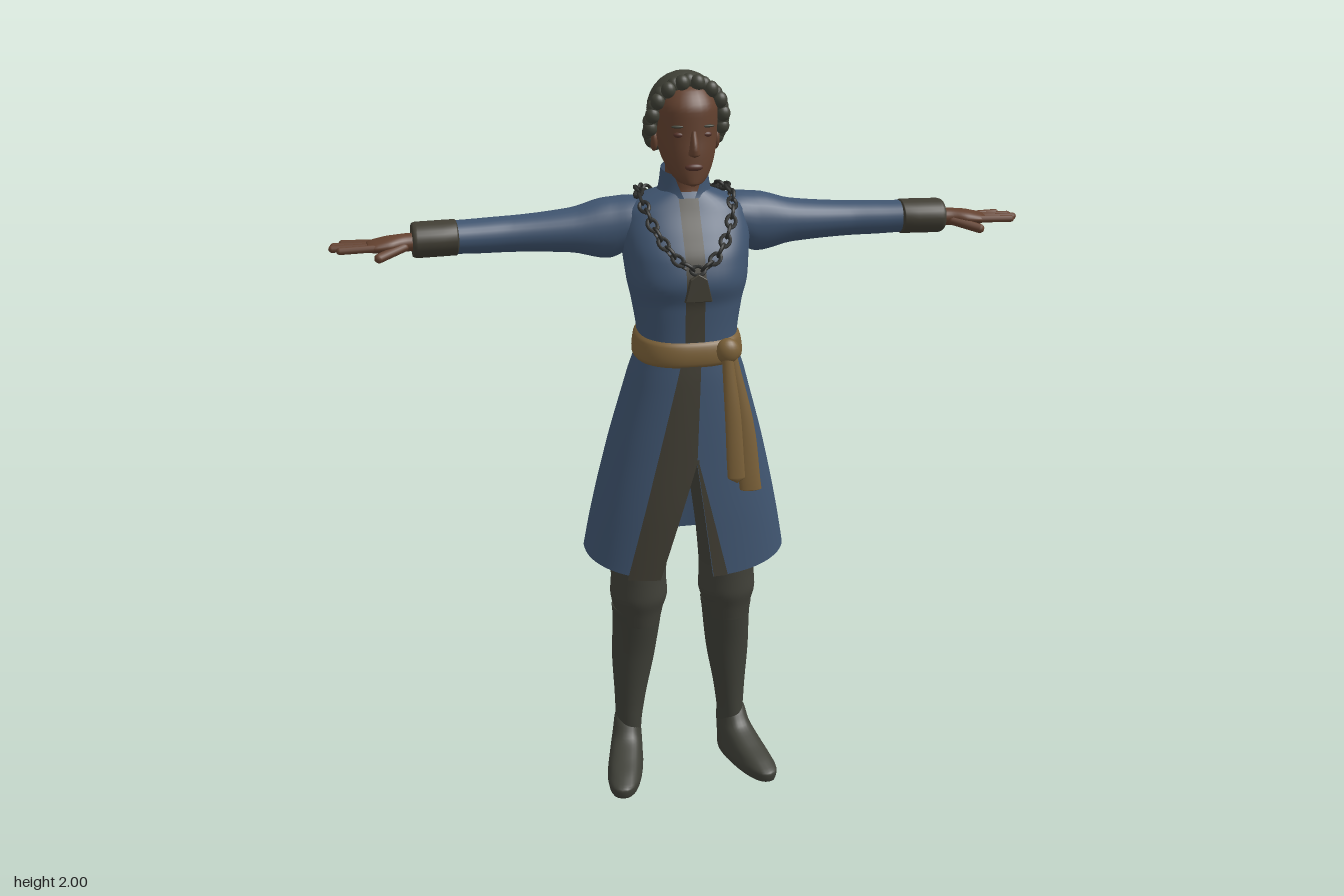
import * as THREE from 'three';

const mat = (name, color, side = THREE.FrontSide) => {
  const m = new THREE.MeshStandardMaterial({ color, side });
  m.name = name;
  return m;
};

// Monotone cubic interpolation of table rows, keyed by the first column
function at(rows, k) {
  const n = rows.length - 1;
  let i = 0;
  while (i < n - 1 && k > rows[i + 1][0]) i++;
  const h = rows[i + 1][0] - rows[i][0];
  const t = THREE.MathUtils.clamp((k - rows[i][0]) / h, 0, 1);
  const d = (j, c) => (rows[j + 1][c] - rows[j][c]) / (rows[j + 1][0] - rows[j][0]);
  const slope = (j, c) => {
    if (j === 0) return d(0, c);
    if (j === n) return d(n - 1, c);
    const a = d(j - 1, c), b = d(j, c);
    return a * b <= 0 ? 0 : (2 * a * b) / (a + b);
  };
  return rows[0].map((_, c) => {
    const t2 = t * t, t3 = t2 * t;
    return (2 * t3 - 3 * t2 + 1) * rows[i][c] + (t3 - 2 * t2 + t) * h * slope(i, c)
      + (3 * t2 - 2 * t3) * rows[i + 1][c] + (t3 - t2) * h * slope(i + 1, c);
  });
}

// Point on an oval section; rows are [key, centre, half width, front z, back z]
function oval(rows, th, k, e = 1, off = 0) {
  const [, c, w, f, b] = at(rows, k);
  const pw = v => Math.sign(v) * Math.abs(v) ** e;
  return [c + (w + off) * pw(Math.sin(th)), k, (f + b) / 2 + ((f - b) / 2 + off) * pw(Math.cos(th))];
}

// Surface from a point rule p(u, v), u and v from 0 to 1
function grid(nu, nv, p, closed = false) {
  const pos = [], idx = [], row = closed ? nu : nu + 1;
  for (let j = 0; j <= nv; j++) for (let i = 0; i < row; i++) pos.push(...p(i / nu, j / nv));
  for (let j = 0; j < nv; j++) for (let i = 0; i < nu; i++) {
    const a = j * row + i, b = j * row + (i + 1) % row;
    idx.push(a, b, b + row, a, b + row, a + row);
  }
  const g = new THREE.BufferGeometry();
  g.setAttribute('position', new THREE.Float32BufferAttribute(pos, 3));
  g.setIndex(idx);
  g.computeVertexNormals();
  return g;
}

// Closed loft through the rows, upright or sideways along x
function loft(rows, { e = 1, side = false, seg = 28, n = 5 } = {}) {
  const nv = (rows.length - 1) * n;
  return grid(seg, nv, (u, v) => {
    const q = v * (rows.length - 1), i = Math.min(Math.floor(q + 1e-9), rows.length - 2);
    const k = THREE.MathUtils.lerp(rows[i][0], rows[i + 1][0], q - i);
    const [x, y, z] = oval(rows, u * Math.PI * 2 * (side ? -1 : 1), k, e);
    return side ? [y, x, z] : [x, y, z];
  }, true);
}

function limb(a, b, r) {
  const A = new THREE.Vector3(...a), B = new THREE.Vector3(...b), d = B.clone().sub(A);
  const g = new THREE.CapsuleGeometry(r, d.length(), 4, 10);
  g.applyQuaternion(new THREE.Quaternion().setFromUnitVectors(new THREE.Vector3(0, 1, 0), d.clone().normalize()));
  return g.translate(...A.add(B).multiplyScalar(0.5).toArray());
}
const ball = (x, y, z, a, b, c) => new THREE.SphereGeometry(1, 20, 14).scale(a, b, c).translate(x, y, z);

function mirrored(geo) {
  const g = geo.clone().scale(-1, 1, 1), ix = g.index;
  for (let i = 0; i < ix.count; i += 3) {
    const t = ix.getX(i);
    ix.setX(i, ix.getX(i + 1));
    ix.setX(i + 1, t);
  }
  return g;
}

// Coat outline from hem to neck
const E = 0.8;
const BODY = [
  [0.64, 0, 0.287, 0.165, -0.19], [0.8, 0, 0.258, 0.165, -0.17], [1, 0, 0.213, 0.16, -0.137],
  [1.2, 0, 0.158, 0.152, -0.1], [1.3, 0, 0.132, 0.145, -0.078], [1.4, 0, 0.145, 0.148, -0.088],
  [1.46, 0, 0.158, 0.163, -0.1], [1.52, 0, 0.165, 0.15, -0.11], [1.58, 0, 0.172, 0.12, -0.115],
  [1.64, 0, 0.165, 0.085, -0.112], [1.67, 0, 0.12, 0.07, -0.095], [1.69, 0, 0.07, 0.06, -0.06]];
const angleAt = (x, y) => Math.asin(Math.sign(x) * Math.min(1, Math.abs(x) / at(BODY, y)[2]) ** (1 / E));
const lerp = THREE.MathUtils.lerp;

export function createModel() {
  const model = new THREE.Group();
  const M = {
    coat: mat('coat blue', 0x3f546f, THREE.DoubleSide),
    trim: mat('trim olive', 0x403d33, THREE.DoubleSide),
    sash: mat('sash ochre', 0x7a6038),
    skin: mat('skin brown', 0x63412f),
    lips: mat('lip brown', 0x55332a),
    hair: mat('hair grey', 0x3f4036),
    boots: mat('boot grey', 0x3f4038),
    trousers: mat('trouser grey', 0x414139),
    chain: mat('chain dark', 0x2b2c2a),
  };
  const add = (name, geo, m) => {
    const mesh = new THREE.Mesh(geo, m);
    mesh.name = name;
    model.add(mesh);
    return mesh;
  };
  const pair = (name, geo, m) => {
    add('left ' + name, geo, m);
    add('right ' + name, mirrored(geo), m);
  };

  // Coat: bodice, and skirt open at the front slit
  add('bodice', grid(48, 40, (u, v) => oval(BODY, u * Math.PI * 2, lerp(1.27, 1.69, v), E), true), M.coat);
  const slit = y => THREE.MathUtils.clamp((0.98 - y) / 0.33, 0, 1);
  const hemY = th => 0.65 + 0.035 * Math.sin(th) ** 2 + 0.006 * (1 - Math.cos(th));
  add('skirt', grid(72, 30, (u, v) => {
    const y0 = lerp(0.65, 1.29, v);
    const th = lerp(angleAt(0.045 * slit(y0), y0), Math.PI * 2 + angleAt(-0.1 * slit(y0), y0), u);
    return oval(BODY, th, lerp(hemY(th), 1.29, v), E);
  }), M.coat);

  // Trim strips lie just proud of the coat; xa and xb are the edges at height y
  const strip = (name, y0, y1, xa, xb, off = 0.005) => add(name, grid(6, 30, (u, v) => {
    const y = lerp(y0, y1, v);
    return oval(BODY, angleAt(lerp(xa(y), xb(y), u), y), y, E, off);
  }), M.trim);
  strip('chest trim', 1.31, 1.675, () => -0.028, () => 0.022);
  strip('right skirt trim', 0.652, 1.27, y => lerp(-0.185, -0.04, (y - 0.65) / 0.6), y => y < 0.98 ? -0.1 * slit(y) : 0.012 * (y - 0.98) / 0.27);
  strip('left skirt trim', 0.652, 0.99, y => 0.045 * slit(y), y => 0.005 + 0.08 * slit(y));

  // Standing collar, parted at the throat
  const COLLAR = [[1.655, 0, 0.085, 0.078, -0.078], [1.69, 0, 0.07, 0.068, -0.062], [1.755, 0, 0.06, 0.066, -0.058]];
  add('collar', grid(30, 8, (u, v) => {
    const gap = 0.04 + 0.6 * v;
    const th = lerp(gap, Math.PI * 2 - gap, u);
    return oval(COLLAR, th, lerp(1.655, 1.745 - 0.012 * Math.cos(th), v));
  }), M.coat);

  // Sash with knot and tails
  add('sash', grid(56, 10, (u, v) => {
    const th = u * Math.PI * 2, y = lerp(1.25, 1.322, v) - 0.011 * Math.cos(th);
    return oval(BODY, th, y, E, -0.004 + 0.016 * Math.sin(Math.PI * v) ** 0.4);
  }, true), M.sash);
  add('sash knot', ball(0.085, 1.282, 0.148, 0.032, 0.035, 0.026), M.sash);
  add('long sash tail', loft([[0.895, 0.148, 0.002, 0.178, 0.17], [0.9, 0.145, 0.03, 0.186, 0.164], [1.05, 0.133, 0.027, 0.178, 0.15],
    [1.27, 0.095, 0.015, 0.16, 0.135]], { seg: 16 }), M.sash);
  add('short sash tail', loft([[0.925, 0.105, 0.002, 0.187, 0.18], [0.94, 0.103, 0.024, 0.192, 0.174], [1.1, 0.095, 0.022, 0.185, 0.162],
    [1.27, 0.082, 0.015, 0.168, 0.145]], { seg: 16 }), M.sash);

  // Arms, cuffs and hands
  pair('sleeve', loft([[0.06, 1.61, 0.055, 0.045, -0.09], [0.14, 1.603, 0.07, 0.055, -0.098], [0.2, 1.59, 0.08, 0.05, -0.092],
    [0.3, 1.588, 0.058, 0.042, -0.08], [0.45, 1.586, 0.047, 0.034, -0.07], [0.53, 1.586, 0.045, 0.04, -0.062],
    [0.62, 1.588, 0.042, 0.05, -0.048]], { side: true }), M.coat);
  pair('cuff', loft([[0.594, 1.588, 0.035, 0.045, -0.04], [0.6, 1.588, 0.046, 0.056, -0.052], [0.7, 1.588, 0.046, 0.064, -0.04],
    [0.712, 1.588, 0.042, 0.06, -0.036], [0.713, 1.588, 0.002, 0.014, 0.01]], { side: true, n: 3 }), M.trim);
  pair('palm', loft([[0.69, 1.586, 0.022, 0.046, -0.01], [0.73, 1.585, 0.023, 0.052, -0.006], [0.77, 1.583, 0.022, 0.068, -0.012],
    [0.8, 1.581, 0.018, 0.07, -0.014], [0.825, 1.58, 0.012, 0.064, -0.01], [0.83, 1.58, 0.002, 0.03, 0.02]], { side: true }), M.skin);
  [[-0.005, -0.025, 0.885], [0.016, 0.006, 0.908], [0.038, 0.032, 0.913], [0.059, 0.062, 0.895]].forEach(([z0, z1, x], i) =>
    pair('finger ' + (i + 1), limb([0.805, 1.581, z0], [x, 1.579, z1], 0.0095), M.skin));
  pair('thumb', limb([0.735, 1.578, 0.045], [0.8, 1.56, 0.08], 0.0125), M.skin);

  // Legs: trousers, boots and turned-out feet
  pair('trouser leg', loft([[0.46, 0.128, 0.06, 0.05, -0.1], [0.5, 0.128, 0.068, 0.06, -0.1], [0.55, 0.127, 0.08, 0.073, -0.1], [0.6, 0.127, 0.077, 0.074, -0.103],
    [0.68, 0.125, 0.08, 0.078, -0.107], [0.9, 0.105, 0.088, 0.09, -0.11], [1.15, 0.065, 0.07, 0.09, -0.08]]), M.trousers);
  pair('boot shaft', loft([[0.05, 0.155, 0.038, -0.02, -0.104], [0.12, 0.152, 0.037, -0.006, -0.105], [0.2, 0.148, 0.043, 0, -0.103],
    [0.35, 0.138, 0.061, 0.02, -0.108], [0.47, 0.13, 0.068, 0.048, -0.108], [0.505, 0.129, 0.072, 0.056, -0.108], [0.508, 0.129, 0.055, 0.04, -0.095]]), M.boots);
  pair('boot foot', loft([[0, 0, 0.002, 0.1, 0.09], [0.001, 0, 0.046, 0.24, -0.045], [0.025, 0, 0.05, 0.245, -0.047], [0.045, 0, 0.048, 0.21, -0.047],
    [0.07, 0, 0.045, 0.14, -0.046], [0.1, 0, 0.041, 0.075, -0.046], [0.14, 0, 0.036, 0.045, -0.044], [0.16, 0, 0.025, 0.025, -0.03]], { e: 0.85 })
    .rotateY(0.25).translate(0.155, 0, -0.06), M.boots);

  // Neck, head and face
  add('neck', loft([[1.64, 0, 0.06, 0.062, -0.05], [1.7, 0, 0.048, 0.05, -0.05], [1.8, 0, 0.05, 0.06, -0.055]]), M.skin);
  add('head', loft([[1.713, 0, 0.004, 0.112, 0.09], [1.722, 0, 0.032, 0.124, 0.04], [1.75, 0, 0.054, 0.124, 0], [1.79, 0, 0.07, 0.123, -0.04],
    [1.84, 0, 0.078, 0.119, -0.06], [1.9, 0, 0.08, 0.118, -0.065], [1.95, 0, 0.06, 0.09, -0.05], [1.98, 0, 0.005, 0.03, 0.02]], { e: 0.93 }), M.skin);
  add('nose', loft([[1.79, 0, 0.004, 0.13, 0.11], [1.797, 0, 0.016, 0.143, 0.1], [1.81, 0, 0.013, 0.144, 0.1], [1.855, 0, 0.007, 0.122, 0.1]], { seg: 14 }), M.skin);
  add('mouth', ball(0, 1.764, 0.119, 0.024, 0.01, 0.011), M.lips);
  pair('eyelid', ball(0.034, 1.845, 0.104, 0.016, 0.008, 0.01), M.lips);
  pair('brow', ball(0.036, 1.866, 0.106, 0.021, 0.004, 0.009), M.hair);
  pair('ear', ball(0.082, 1.82, 0.015, 0.01, 0.028, 0.018), M.skin);

  // Hair cap, crown braid and hanging braid
  add('hair cap', ball(0, 1.893, 0, 0.098, 0.102, 0.081), M.hair);
  const V = a => new THREE.Vector3(...a);
  const half = [[0.04, 1.963, 0.066], [0.077, 1.932, 0.058], [0.094, 1.88, 0.04], [0.09, 1.83, 0.005], [0.062, 1.805, -0.04]];
  const crown = new THREE.CatmullRomCurve3([[0, 1.973, 0.064], ...half, [0, 1.81, -0.068],
    ...half.map(([x, y, z]) => [-x, y, z]).reverse()].map(V), true);
  crown.getSpacedPoints(34).slice(0, 34).forEach((p, i) =>
    add('crown braid strand ' + (i + 1), ball(p.x, p.y, p.z + (i % 2 ? 0.006 : -0.006), 0.019, 0.021, 0.018), M.hair));
  for (let i = 0; i < 14; i++) {
    const t = i / 13, s = i % 2 ? 1 : -1, r = lerp(0.033, 0.015, t);
    add('hanging braid strand ' + (i + 1), ball(s * r * 0.55, lerp(1.84, 1.695, t), lerp(-0.058, -0.1, t), r, 0.02, r * 0.85), M.hair);
  }

  // Chain of alternating links resting on the coat, with a pendant
  const on = (x, y) => oval(BODY, angleAt(x, y), y, E, 0.009);
  const side = [on(0.045, 1.53), on(0.088, 1.59), [0.115, 1.648, 0.066], [0.12, 1.685, -0.005], [0.085, 1.672, -0.09]];
  const chain = new THREE.CatmullRomCurve3([on(0, 1.505), ...side, [0, 1.645, -0.122],
    ...side.map(([x, y, z]) => [-x, y, z]).reverse()].map(V), true);
  const link = new THREE.TorusGeometry(0.0125, 0.0048, 6, 14).scale(1.35, 1, 1);
  const N = 34;
  for (let i = 0; i < N; i++) {
    const t = chain.getTangentAt(i / N);
    const q = new THREE.Quaternion().setFromUnitVectors(new THREE.Vector3(1, 0, 0), t);
    const mesh = add('chain link ' + (i + 1), link, M.chain);
    mesh.position.copy(chain.getPointAt(i / N));
    mesh.quaternion.copy(q).multiply(new THREE.Quaternion().setFromAxisAngle(new THREE.Vector3(1, 0, 0), i % 2 ? 0.9 : -0.6));
  }
  const plate = new THREE.Shape([[-0.034, -0.035], [0.034, -0.035], [0.02, 0.022], [0, 0.034], [-0.02, 0.022]].map(a => new THREE.Vector2(...a)));
  add('pendant', new THREE.ExtrudeGeometry(plate, { depth: 0.01, bevelSize: 0.002, bevelThickness: 0.002, bevelSegments: 1 })
    .translate(0, 1.462, 0.168), M.trim);
  return model;
}
